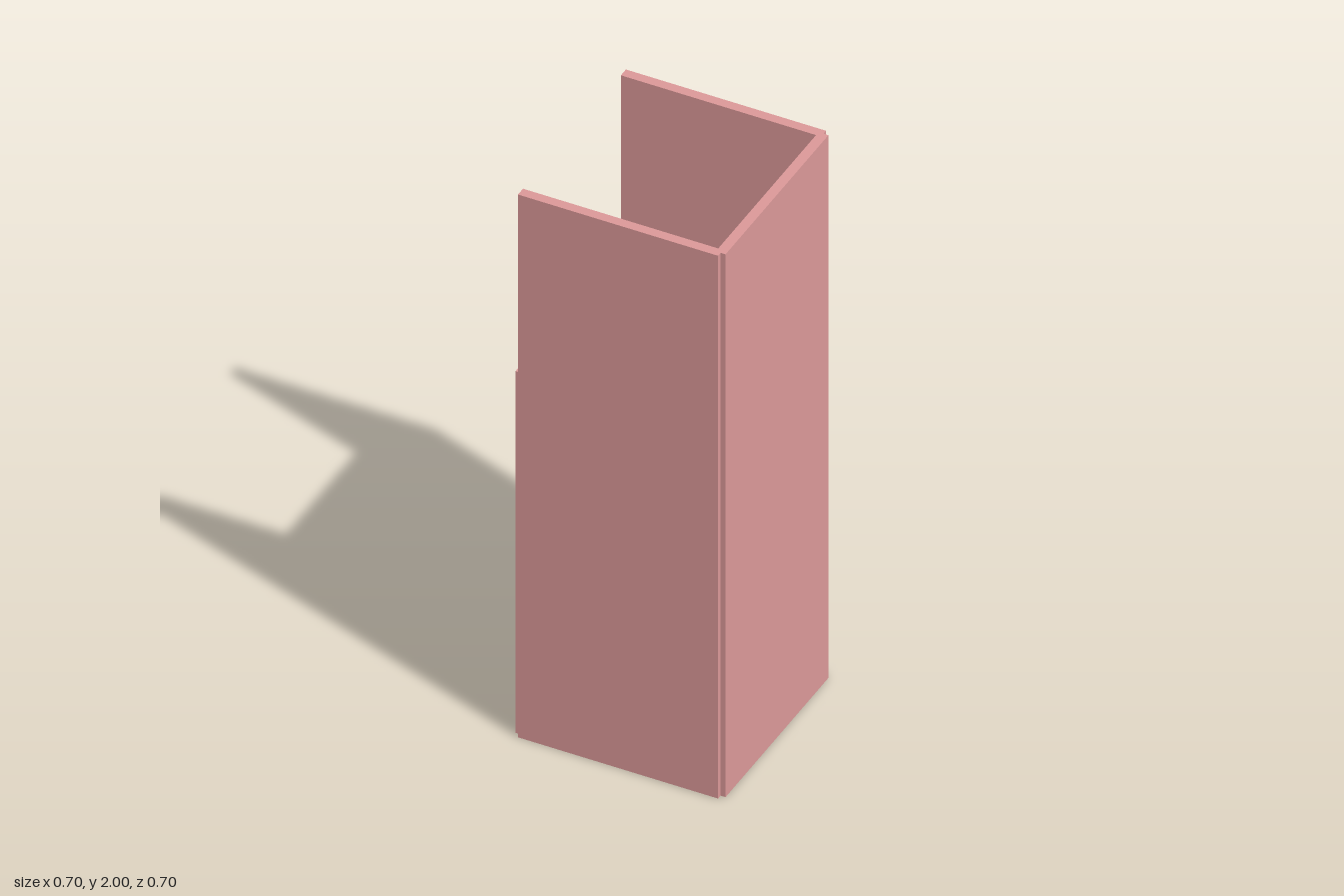
import * as THREE from 'three';

const SPAN = 0.666;      // wall width, also the distance between opposite walls
const THICK = 0.0327;    // wall thickness
const HEIGHT = 2;
const LOW_HEIGHT = 1.333;

export function createModel() {
  const group = new THREE.Group();
  group.name = 'openShaft';
  const material = new THREE.MeshStandardMaterial({ color: 0xdd9a9a });

  // Upright panel standing on the ground
  const addWall = (name, width, height, depth, x, z) => {
    const wall = new THREE.Mesh(new THREE.BoxGeometry(width, height, depth), material);
    wall.name = name;
    wall.position.set(x, height / 2, z);
    group.add(wall);
  };

  // Four panels meeting at notched corners; the right one is cut low
  const r = SPAN / 2;
  addWall('frontWall', SPAN, HEIGHT, THICK, 0, r);
  addWall('backWall', SPAN, HEIGHT, THICK, 0, -r);
  addWall('leftWall', THICK, HEIGHT, SPAN, r, 0);
  addWall('lowRightWall', THICK, LOW_HEIGHT, SPAN, -r, 0);

  return group;
}
